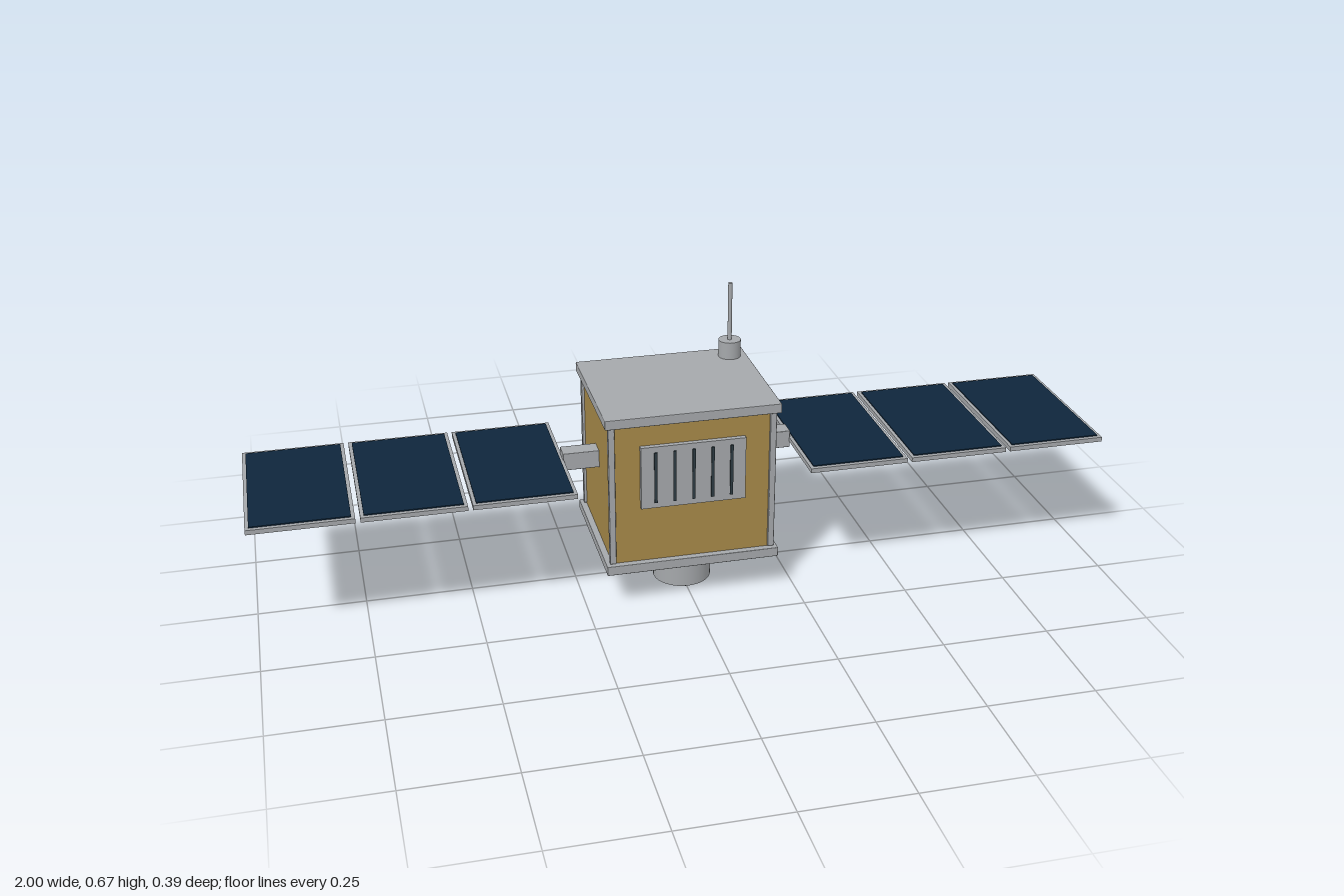
import * as THREE from 'three';
import { RoundedBoxGeometry } from 'three/addons/geometries/RoundedBoxGeometry.js';

const mat = (name, color) => {
  const m = new THREE.MeshStandardMaterial({ color });
  m.name = name;
  return m;
};

export function createModel() {
  const root = new THREE.Group();
  root.name = 'satellite';
  const metal = mat('grey metal', 0xa5a8ab);
  const foil = mat('gold foil', 0xa68949);
  const cells = mat('navy solar cells', 0x0e263c);
  const dark = mat('dark slate', 0x2c3a41);

  const add = (parent, name, geometry, material, x, y, z) => {
    const mesh = new THREE.Mesh(geometry, material);
    mesh.name = name;
    mesh.position.set(x, y, z);
    parent.add(mesh);
    return mesh;
  };
  const box = (w, h, d) => new THREE.BoxGeometry(w, h, d);
  const soft = (w, h, d) => new RoundedBoxGeometry(w, h, d, 1, 0.002);
  const rod = (r, h) => new THREE.CylinderGeometry(r, r, h, 32);

  // Foil-wrapped body between two end plates, with four corner posts
  add(root, 'body', box(0.38, 0.35, 0.32), foil, 0, 0.288, 0);
  add(root, 'topPlate', soft(0.41, 0.023, 0.352), metal, 0, 0.4735, 0);
  add(root, 'bottomPlate', soft(0.41, 0.023, 0.352), metal, 0, 0.103, 0);
  for (const sx of [-1, 1]) for (const sz of [-1, 1])
    add(root, 'cornerPost', soft(0.015, 0.344, 0.015), metal, sx * 0.189, 0.288, sz * 0.1595);

  // Radiator with dark slots, on the front and the back
  for (const side of [1, -1]) {
    const radiator = new THREE.Group();
    radiator.name = side > 0 ? 'frontRadiator' : 'backRadiator';
    add(radiator, 'radiatorPlate', box(0.246, 0.154, 0.014), metal, 0, 0.331, 0.165);
    for (let i = -2; i <= 2; i++)
      add(radiator, 'radiatorSlot', box(0.007, 0.126, 0.005), dark, i * 0.0445, 0.331, 0.1728);
    radiator.rotation.y = side > 0 ? 0 : Math.PI;
    root.add(radiator);
  }

  // Solar wings: one arm and three framed panels on each side
  for (const side of [1, -1]) {
    const wing = new THREE.Group();
    wing.name = side > 0 ? 'leftWing' : 'rightWing';
    add(wing, 'wingArm', soft(0.09, 0.043, 0.043), metal, side * 0.23, 0.3185, 0);
    for (let i = 0; i < 3; i++) {
      const x = side * (0.3905 + i * 0.246);
      add(wing, 'panelFrame', box(0.235, 0.011, 0.394), metal, x, 0.3175, 0);
      add(wing, 'panelCells', box(0.219, 0.004, 0.374), cells, x, 0.3237, 0);
    }
    root.add(wing);
  }

  // Antenna on the rear corner of the top plate
  add(root, 'antennaBase', rod(0.027, 0.043), metal, 0.163, 0.506, -0.128);
  add(root, 'antennaRod', rod(0.005, 0.145), metal, 0.163, 0.5985, -0.128);

  // Downward camera and the two sensor boxes beside it
  add(root, 'cameraBarrel', rod(0.069, 0.084), metal, 0, 0.051, 0.054);
  add(root, 'cameraLens', rod(0.054, 0.012), dark, 0, 0.006, 0.054);
  for (const side of [1, -1])
    add(root, 'sensorBox', soft(0.102, 0.024, 0.125), dark, side * 0.12, 0.082, 0);

  return root;
}
